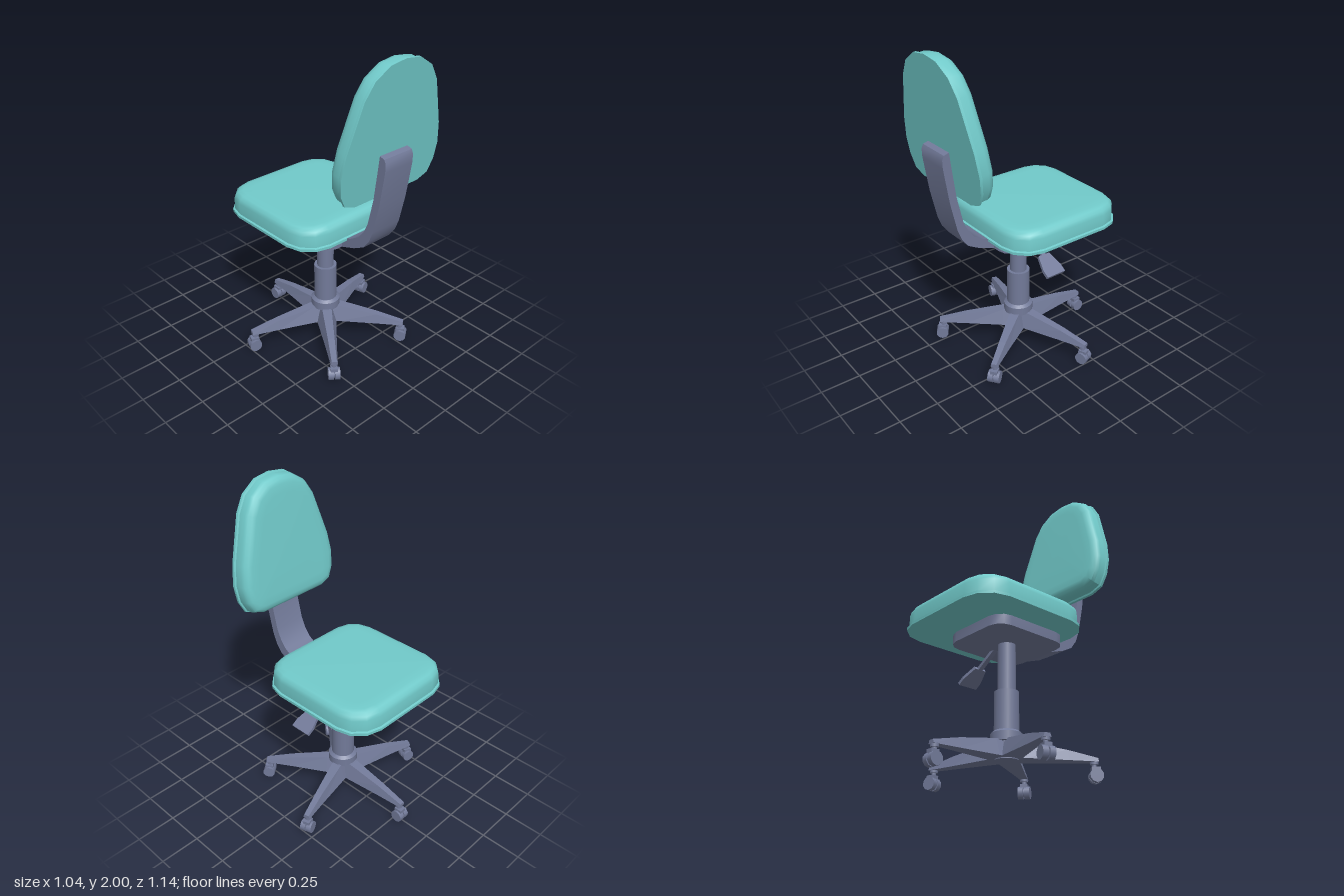
import * as THREE from 'three';
import { toCreasedNormals } from 'three/addons/utils/BufferGeometryUtils.js';

const teal = new THREE.MeshStandardMaterial({ color: 0x71caca });
teal.name = 'teal upholstery';
const grey = new THREE.MeshStandardMaterial({ color: 0x727a99 });
grey.name = 'blue grey plastic';

const AXIS_Z = -0.035; // swivel axis

function add(parent, name, geometry, material, x = 0, y = 0, z = 0) {
  const mesh = new THREE.Mesh(geometry, material);
  mesh.name = name;
  mesh.position.set(x, y, z);
  parent.add(mesh);
  return mesh;
}

// Counter-clockwise rectangle outline with faceted round corners
function roundedRect(w, h, r, steps) {
  const pts = [];
  [[1, 1], [-1, 1], [-1, -1], [1, -1]].forEach(([sx, sy], q) => {
    for (let i = 0; i <= steps; i++) {
      const a = (q + i / steps) * Math.PI / 2;
      pts.push(new THREE.Vector2(sx * (w / 2 - r) + r * Math.cos(a), sy * (h / 2 - r) + r * Math.sin(a)));
    }
  });
  return pts;
}

// Move a convex outline inwards by d
function inset(pts, d) {
  const n = pts.length;
  return pts.map((p, i) => {
    const e1 = p.clone().sub(pts[(i + n - 1) % n]).normalize();
    const e2 = pts[(i + 1) % n].clone().sub(p).normalize();
    const k = d / (1 + e1.dot(e2));
    return new THREE.Vector2(p.x - (e1.y + e2.y) * k, p.y + (e1.x + e2.x) * k);
  });
}

// Solid from inset rings [inset, height] stacked along z, with capped ends
function stack(outline, layers, centre, crease = 0.75) {
  const n = outline.length, pos = [], idx = [];
  layers.forEach(([d, h]) => inset(outline, d).forEach(p => pos.push(p.x, p.y, h)));
  const last = (layers.length - 1) * n, bottom = layers.length * n, top = bottom + 1;
  pos.push(...centre, layers[0][1], ...centre, layers[layers.length - 1][1]);
  for (let i = 0; i < n; i++) {
    const j = (i + 1) % n;
    for (let k = 0; k < last; k += n) idx.push(k + i, k + j, k + n + j, k + i, k + n + j, k + n + i);
    idx.push(bottom, j, i, top, last + i, last + j);
  }
  const g = new THREE.BufferGeometry();
  g.setAttribute('position', new THREE.Float32BufferAttribute(pos, 3));
  g.setIndex(idx);
  return toCreasedNormals(g, crease);
}

// Extrude an outline symmetrically about its plane
function slab(points, thickness) {
  const shape = new THREE.Shape(points.map(([x, y]) => new THREE.Vector2(x, y)));
  const g = new THREE.ExtrudeGeometry(shape, { depth: thickness, bevelEnabled: false });
  return g.translate(0, 0, -thickness / 2);
}

// Tapered star leg running along +x
function legGeometry() {
  const sections = [ // radius, top height, bottom half width, top half width
    [0, 0.225, 0.07, 0.034], [0.1, 0.217, 0.06, 0.03],
    [0.34, 0.178, 0.036, 0.021], [0.512, 0.138, 0.022, 0.016]];
  const g = new THREE.BoxGeometry(3, 1, 1, 3, 1, 1).toNonIndexed();
  const p = g.attributes.position;
  for (let i = 0; i < p.count; i++) {
    const [r, top, wb, wt] = sections[Math.round(p.getX(i) + 1.5)];
    const up = p.getY(i) > 0;
    p.setXYZ(i, r, up ? top : 0.117, Math.sign(p.getZ(i)) * (up ? wt : wb));
  }
  g.computeVertexNormals();
  return g;
}

export function createModel() {
  const chair = new THREE.Group();
  chair.name = 'swivelChair';

  // Seat cushion with a thin lip around its lower edge
  const seat = stack(roundedRect(0.82, 0.82, 0.18, 3),
    [[0, 0], [0, 0.016], [0.012, 0.02], [0.012, 0.09], [0.02, 0.115], [0.038, 0.132], [0.065, 0.138], [0.12, 0.14]], [0, 0]);
  add(chair, 'seatCushion', seat.rotateX(-Math.PI / 2), teal, 0, 0.86, -0.14);

  // Backrest cushion, leaning back
  const half = [[0.243, 0], [0.32, 0.028], [0.358, 0.105], [0.37, 0.21], [0.35, 0.34],
    [0.265, 0.62], [0.206, 0.715], [0.108, 0.778]];
  const outline = [...half, [0, 0.793], ...half.slice().reverse().map(([x, y]) => [-x, y])]
    .map(([x, y]) => new THREE.Vector2(x, y));
  const back = stack(outline,
    [[0, 0], [0, 0.016], [0.01, 0.02], [0.01, 0.065], [0.017, 0.088], [0.034, 0.104], [0.06, 0.11], [0.11, 0.112]], [0, 0.36]);
  const backrest = add(chair, 'backrestCushion', back.rotateY(Math.PI), teal, 0, 1.212, 0.472);
  backrest.rotation.x = 0.126;

  // Bent strap joining seat and backrest; profile is (z, y)
  const strap = slab([[0.2, 0.8], [0.23, 0.8], [0.33, 0.835], [0.405, 0.875], [0.447, 0.93], [0.475, 1.0],
    [0.517, 1.18], [0.552, 1.395], [0.554, 1.445], [0.543, 1.47], [0.51, 1.48], [0.5, 1.4],
    [0.472, 1.2], [0.434, 1.04], [0.405, 0.975], [0.365, 0.925], [0.3, 0.885], [0.23, 0.858], [0.2, 0.858]], 0.21);
  add(chair, 'backStrap', toCreasedNormals(strap.rotateY(-Math.PI / 2), 0.6), grey);

  // Plate under the seat
  const plate = stack(roundedRect(0.475, 0.525, 0.09, 3), [[0, 0], [0, 0.062]], [0, 0]);
  add(chair, 'seatPlate', plate.rotateX(-Math.PI / 2), grey, 0, 0.8, AXIS_Z);

  // Height lever with a flared paddle
  const lever = slab([[0, -0.015], [0.17, -0.015], [0.17, -0.04], [0.265, -0.066], [0.315, -0.066],
    [0.315, 0.066], [0.265, 0.066], [0.17, 0.04], [0.17, 0.015], [0, 0.015]], 0.02);
  add(chair, 'heightLever', lever.rotateX(Math.PI / 2), grey, 0.1, 0.812, AXIS_Z).rotation.z = -0.56;

  // Column and hub, each [name, bottom, top, bottom radius, top radius]
  [['upperColumn', 0.5, 0.81, 0.053, 0.053], ['lowerColumn', 0.26, 0.51, 0.072, 0.072],
    ['hubChamfer', 0.262, 0.277, 0.092, 0.074], ['hub', 0.21, 0.262, 0.092, 0.092],
    ['hubFoot', 0.112, 0.215, 0.07, 0.07]].forEach(([name, y0, y1, r0, r1]) =>
    add(chair, name, new THREE.CylinderGeometry(r1, r0, y1 - y0, 20), grey, 0, (y0 + y1) / 2, AXIS_Z));

  // Five star legs with casters
  const leg = legGeometry();
  const wheel = new THREE.CylinderGeometry(0.039, 0.039, 0.032, 10).rotateX(Math.PI / 2);
  const axle = new THREE.CylinderGeometry(0.028, 0.028, 0.03, 10).rotateX(Math.PI / 2);
  const collar = new THREE.CylinderGeometry(0.024, 0.024, 0.02, 10);
  const stem = new THREE.CylinderGeometry(0.014, 0.014, 0.05, 10);
  const hood = new THREE.BoxGeometry(0.05, 0.03, 0.044);
  for (let i = 0; i < 5; i++) {
    const arm = new THREE.Group();
    arm.name = 'baseArm' + (i + 1);
    arm.position.z = AXIS_Z;
    arm.rotation.y = Math.PI / 2 + i * Math.PI * 2 / 5;
    chair.add(arm);
    add(arm, 'starLeg', leg, grey);
    const r = 0.497;
    add(arm, 'casterCollar', collar, grey, r - 0.008, 0.112, 0);
    add(arm, 'casterStem', stem, grey, r - 0.008, 0.095, 0);
    add(arm, 'casterHood', hood, grey, r, 0.074, 0);
    add(arm, 'casterAxle', axle, grey, r, 0.039, 0);
    for (const s of [-1, 1]) add(arm, 'casterWheel', wheel, grey, r, 0.039, s * 0.02);
  }
  return chair;
}
